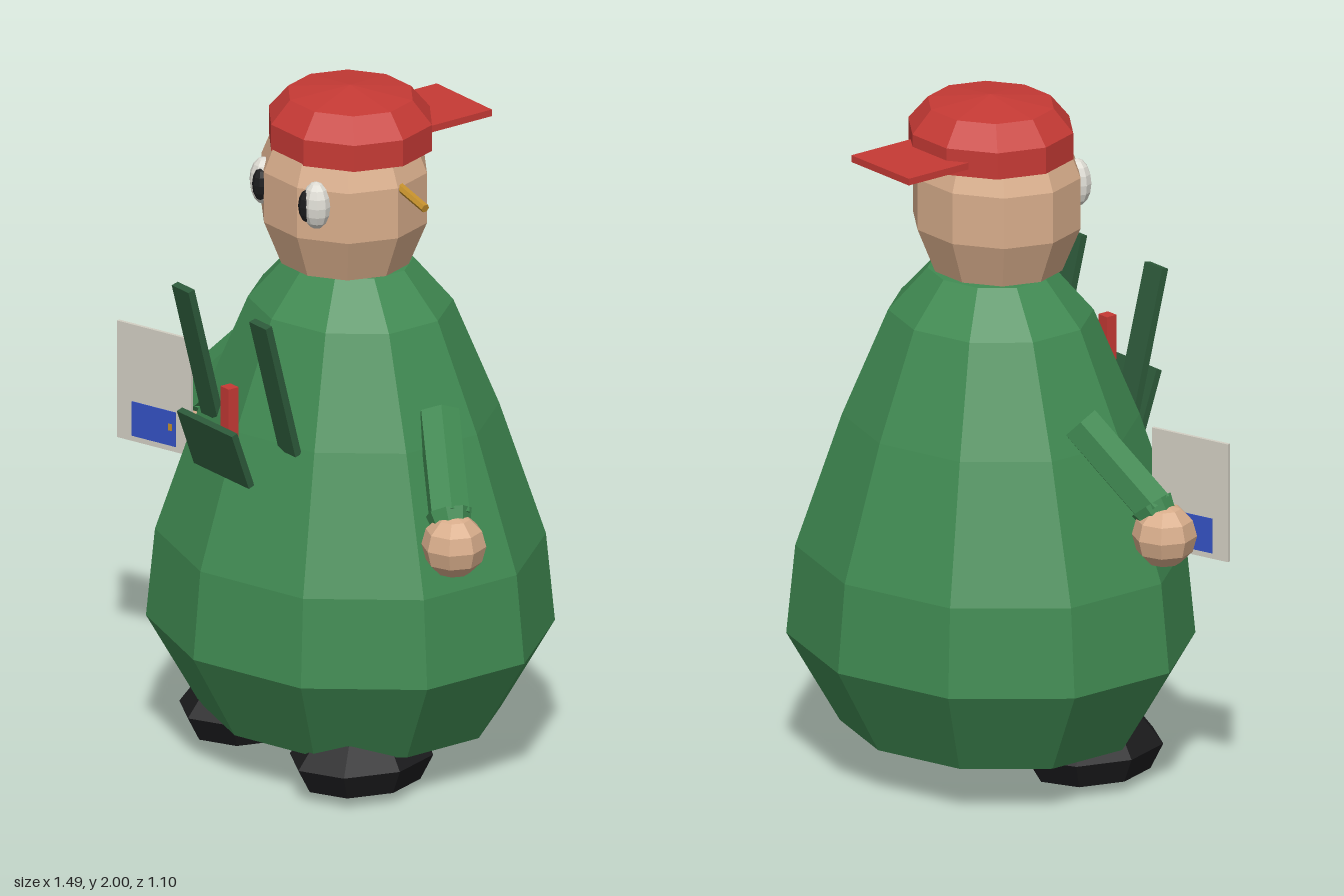
import * as THREE from 'three';

const mat = (name, color) => {
  const m = new THREE.MeshStandardMaterial({ color, flatShading: true });
  m.name = name;
  return m;
};

export function createModel() {
  const green = mat('green cloth', 0x408a52);
  const darkGreen = mat('dark green cloth', 0x2d5a3a);
  const red = mat('red', 0xc63a35);
  const skin = mat('skin', 0xd8ad8b);
  const black = mat('black', 0x1b1b1d);
  const white = mat('eye white', 0xdedcd4);
  const ochre = mat('pencil ochre', 0xc4902c);
  const paper = mat('paper', 0xd2cfc3);
  const blue = mat('blue', 0x3452c4);

  const model = new THREE.Group();
  const figure = new THREE.Group();
  figure.name = 'figure';
  figure.position.x = 0.018;
  model.add(figure);

  const add = (name, geometry, material, x = 0, y = 0, z = 0, parent = figure) => {
    const mesh = new THREE.Mesh(geometry, material);
    mesh.name = name;
    mesh.position.set(x, y, z);
    parent.add(mesh);
    return mesh;
  };
  const box = (w, h, d) => new THREE.BoxGeometry(w, h, d);
  const lathe = (pts, sides, start = 0) =>
    new THREE.LatheGeometry(pts.map(([r, y]) => new THREE.Vector2(r, y)), sides, start);
  // Tapered rod between two points
  const rod = (name, a, b, ra, rb, sides, material) => {
    const from = new THREE.Vector3(...a), to = new THREE.Vector3(...b);
    const dir = to.clone().sub(from);
    const mesh = add(name, new THREE.CylinderGeometry(rb, ra, dir.length(), sides), material);
    mesh.position.copy(from).add(to).multiplyScalar(0.5);
    mesh.quaternion.setFromUnitVectors(new THREE.Vector3(0, 1, 0), dir.normalize());
    return mesh;
  };

  // Pear-shaped body, slightly flattened front to back
  add('body', lathe([[0, 0.14], [0.452, 0.14], [0.613, 0.4], [0.586, 0.66], [0.446, 1.05],
    [0.308, 1.36], [0.19, 1.485], [0, 1.5]], 10), green).scale.z = 0.9;

  // Head
  add('head', lathe([[0, 1.47], [0.195, 1.49], [0.25, 1.62], [0.25, 1.77], [0.2, 1.89], [0, 1.92]],
    10, Math.PI / 2), skin, 0, 0, 0.022).scale.z = 0.94;

  // Cap with the brim turned to the back
  add('cap', lathe([[0, 1.83], [0.245, 1.83], [0.245, 1.908], [0.187, 1.975], [0, 2]],
    10, Math.PI / 2), red).scale.z = 0.95;
  add('capBrim', box(0.256, 0.02, 0.24), red, 0, 1.862, -0.28);

  // Pencil behind the ear
  rod('pencil', [0.2, 1.775, 0.005], [0.355, 1.738, 0.005], 0.013, 0.013, 6, ochre);

  for (const s of [1, -1]) {
    const side = s > 0 ? 'left' : 'right';

    // Eyes
    add(side + 'Eye', new THREE.SphereGeometry(1, 10, 8), white, s * 0.122, 1.725, 0.212)
      .scale.set(0.044, 0.07, 0.04);
    add(side + 'Pupil', new THREE.SphereGeometry(1, 8, 6), black, s * 0.107, 1.723, 0.236)
      .scale.set(0.025, 0.048, 0.022);

    // Arm, cuff and hand
    rod(side + 'Arm', [s * 0.405, 1.135, -0.005], [s * 0.6, 0.91, 0.105], 0.062, 0.062, 6, green);
    rod(side + 'Cuff', [s * 0.59, 0.92, 0.1], [s * 0.622, 0.875, 0.112], 0.066, 0.05, 8, green);
    add(side + 'Hand', new THREE.SphereGeometry(0.092, 8, 6), skin, s * 0.632, 0.837, 0.114);

    // Shoe
    add(side + 'Shoe', lathe([[0, 0], [0.82, 0.032], [1, 0.105], [0.72, 0.18], [0, 0.19]], 8),
      black, s * 0.257, 0, 0.155).scale.set(0.178, 1, 0.222);

    // Apron strap, leaning forward
    add(side + 'Strap', box(0.078, 0.42, 0.022), darkGreen, s * 0.18, 1.237, 0.4).rotation.x = 0.25;
  }

  // Chest pocket with a marker
  add('pocket', box(0.256, 0.18, 0.02), darkGreen, 0, 1.018, 0.474).rotation.x = 0.34;
  add('marker', box(0.038, 0.155, 0.035), red, 0.064, 1.145, 0.473);

  // Card held in the right hand, with a blue panel and small dot on both faces
  const card = new THREE.Group();
  card.name = 'card';
  card.position.set(-0.64, 0.94, 0.203);
  card.rotation.y = 0.297;
  figure.add(card);
  add('cardSheet', box(0.256, 0.35, 0.01), paper, 0, 0, 0, card);
  add('cardPanel', box(0.152, 0.103, 0.015), blue, 0, -0.107, 0, card);
  add('cardDot', box(0.012, 0.02, 0.018), ochre, 0.058, -0.103, 0, card);

  return model;
}
